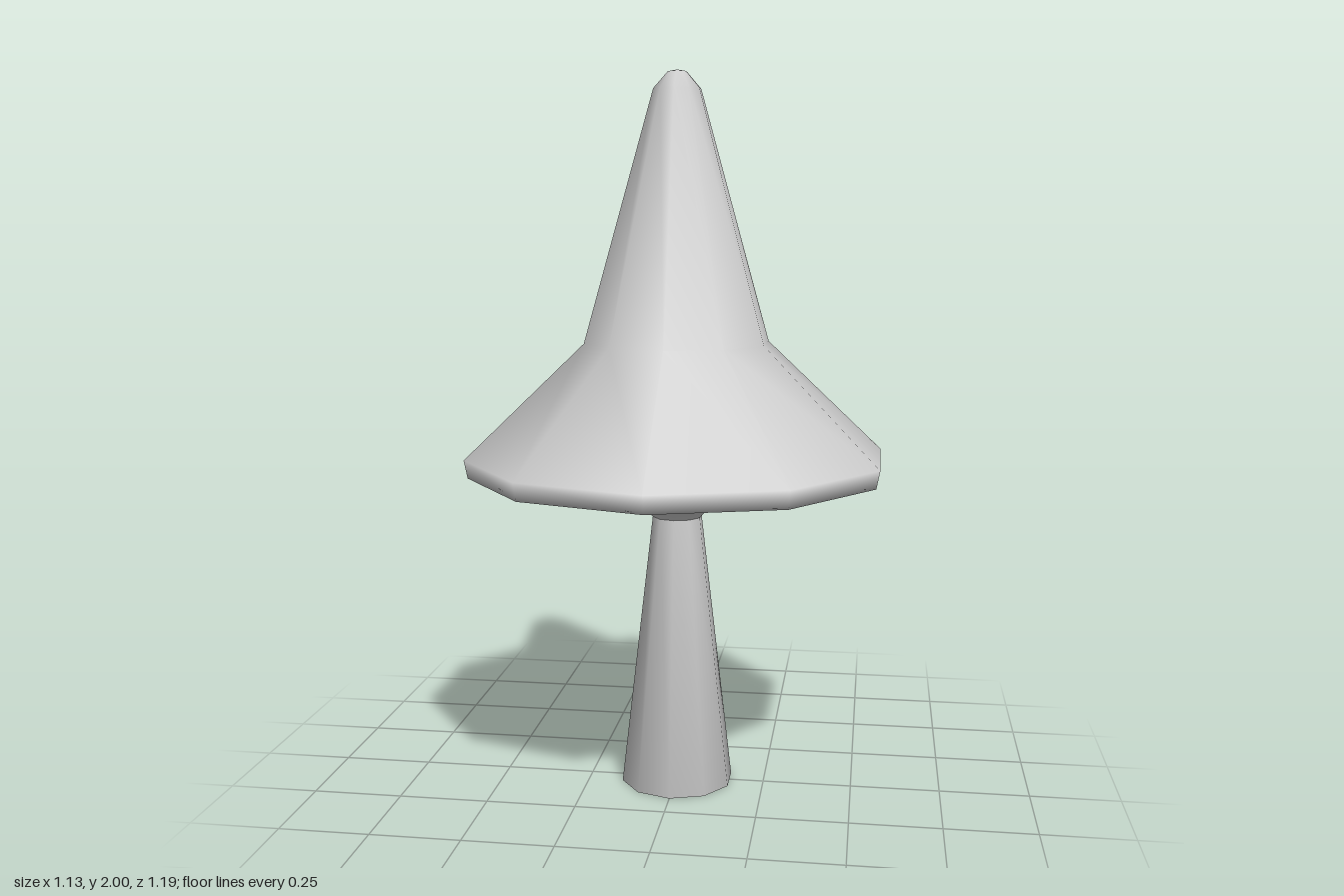
import * as THREE from 'three';

const SIDES = 10;

export function createModel() {
  const group = new THREE.Group();
  const material = new THREE.MeshStandardMaterial({ color: 0xcccccc });

  // Revolve a [radius, height] profile, listed from bottom to top
  const turned = (name, profile) => {
    const points = profile.map(([r, y]) => new THREE.Vector2(r, y));
    const mesh = new THREE.Mesh(new THREE.LatheGeometry(points, SIDES), material);
    mesh.name = name;
    group.add(mesh);
  };

  // Tapered stem with closed base
  turned('stem', [[0, 0], [0.16, 0], [0.07, 0.775]]);

  // Cap: collar, sloping underside, rim lip, flared brim and tall rounded cone
  turned('cap', [
    [0.07, 0.775],
    [0.158, 0.873],
    [0.46, 0.94],
    [0.583, 0.9],
    [0.593, 0.95],
    [0.26, 1.265],
    [0.066, 1.95],
    [0.026, 1.995],
    [0, 2],
  ]);

  return group;
}
